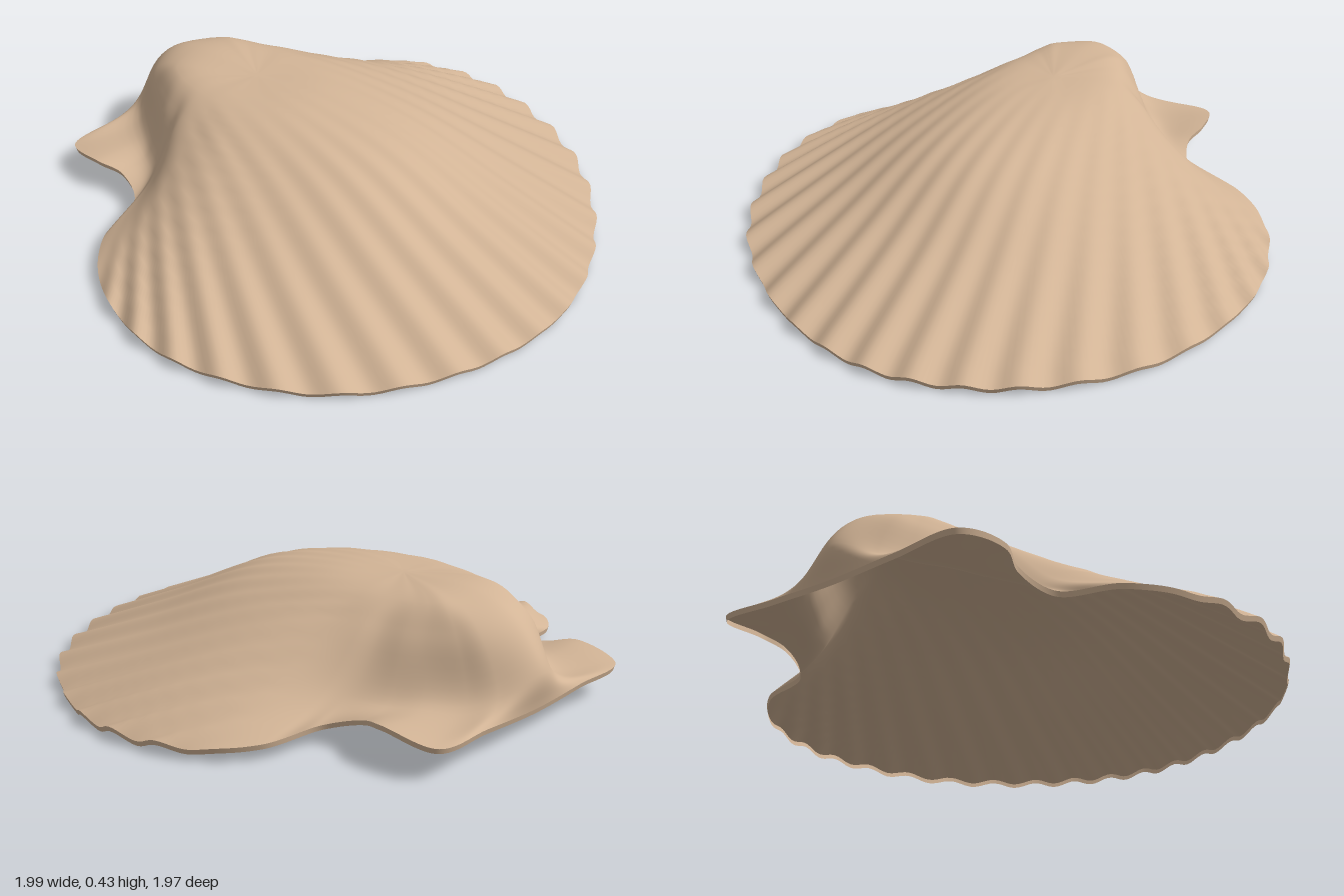
import * as THREE from 'three';

const AROUND = 528; // samples around the shell
const RINGS = 28;   // samples from crown to rim

// Spokes of the +x half, front to back: crown edge, shoulder, flank, rim
const CROWN = new THREE.Vector3(0, 0.427, -0.4);
const SPOKES = [
  [[0, 0.42, -0.1], [0, 0.36, 0.24], [0, 0.2, 0.6], [0, 0.04, 0.98]],
  [[0.1, 0.418, -0.12], [0.2, 0.353, 0.17], [0.32, 0.19, 0.53], [0.43, 0.04, 0.865]],
  [[0.18, 0.412, -0.2], [0.35, 0.335, 0], [0.6, 0.173, 0.27], [0.815, 0.04, 0.535]],
  [[0.205, 0.412, -0.33], [0.38, 0.345, -0.25], [0.7, 0.19, -0.1], [0.995, 0.045, 0.05]],
  [[0.205, 0.412, -0.42], [0.35, 0.343, -0.41], [0.61, 0.19, -0.375], [0.915, 0.052, -0.33]],
  [[0.2, 0.41, -0.5], [0.32, 0.34, -0.51], [0.5, 0.16, -0.51], [0.75, 0.065, -0.505]],
  [[0.19, 0.41, -0.56], [0.29, 0.325, -0.57], [0.42, 0.145, -0.57], [0.54, 0.08, -0.56]],
  [[0.18, 0.41, -0.61], [0.265, 0.32, -0.64], [0.36, 0.135, -0.67], [0.49, 0.12, -0.68]],
  [[0.165, 0.413, -0.65], [0.23, 0.32, -0.7], [0.305, 0.14, -0.755], [0.515, 0.145, -0.78]],
  [[0.14, 0.418, -0.69], [0.18, 0.325, -0.785], [0.225, 0.14, -0.865], [0.475, 0.12, -0.962]],
  [[0.1, 0.423, -0.7], [0.13, 0.345, -0.835], [0.15, 0.165, -0.93], [0.25, 0.11, -0.97]],
  [[0, 0.432, -0.7], [0, 0.378, -0.86], [0, 0.22, -0.982], [0, 0.1, -0.972]],
];
const SPOKE_COUNT = 2 * (SPOKES.length - 1);

// Closed curve through one level of all spokes, mirrored to the -x half
function levelCurve(level) {
  const half = SPOKES.map((s) => new THREE.Vector3(...s[level]));
  const mirrored = half.slice(1, -1).reverse().map((p) => new THREE.Vector3(-p.x, p.y, p.z));
  return new THREE.CatmullRomCurve3([...half, ...mirrored], true, 'centripetal');
}

// Ribs fan out from the beak, grow toward the rim and fade before the ears
function addRibs(p, t, i) {
  const spoke = (Math.min(i, AROUND - i) / AROUND) * SPOKE_COUNT;
  const fade = 1 - THREE.MathUtils.smoothstep(spoke, 3.4, 4.8);
  const a = Math.atan2(p.x, p.z + 1.05);
  const wave = Math.cos(a * 72 + 1.2 * Math.sin(a * 7)) * fade * t * t;
  p.y += 0.012 * wave;
  p.x *= 1 + 0.005 * wave;
  p.z += 0.005 * wave;
  return p;
}

function makeGeometry(positions, indices) {
  const geometry = new THREE.BufferGeometry();
  geometry.setAttribute('position', new THREE.Float32BufferAttribute(positions, 3));
  geometry.setIndex(indices);
  geometry.computeVertexNormals();
  return geometry;
}

export function createModel() {
  const group = new THREE.Group();
  group.name = 'scallopShell';
  const shellTan = new THREE.MeshStandardMaterial({ color: 0xd2b496, side: THREE.DoubleSide });
  shellTan.name = 'shellTan';

  // Domed valve with ears: vertex 0 is the crown, then one spoke after another
  const levels = [0, 1, 2, 3].map(levelCurve);
  const positions = CROWN.toArray();
  const indices = [];
  const rim = [];
  const id = (i, r) => (r === 0 ? 0 : 1 + (i % AROUND) * RINGS + r - 1);
  for (let i = 0; i < AROUND; i++) {
    const profile = new THREE.CatmullRomCurve3(
      [CROWN, ...levels.map((c) => c.getPoint(i / AROUND))], false, 'centripetal');
    for (let r = 1; r <= RINGS; r++) {
      const p = addRibs(profile.getPoint(r / RINGS), r / RINGS, i);
      positions.push(p.x, p.y, p.z);
      if (r === RINGS) rim.push(p);
      indices.push(id(i, r - 1), id(i, r), id(i + 1, r));
      if (r > 1) indices.push(id(i, r - 1), id(i + 1, r), id(i + 1, r - 1));
    }
  }
  const valve = new THREE.Mesh(makeGeometry(positions, indices), shellTan);
  valve.name = 'valve';
  group.add(valve);

  // Thin lip that gives the rim its thickness
  const lipPositions = [];
  const lipIndices = [];
  rim.forEach((p, i) => {
    lipPositions.push(p.x, p.y, p.z, p.x * 0.995, p.y - 0.018, p.z * 0.995);
    const a = 2 * i;
    const b = 2 * ((i + 1) % AROUND);
    lipIndices.push(a, a + 1, b + 1, a, b + 1, b);
  });
  const lip = new THREE.Mesh(makeGeometry(lipPositions, lipIndices), shellTan);
  lip.name = 'rimLip';
  group.add(lip);

  return group;
}
